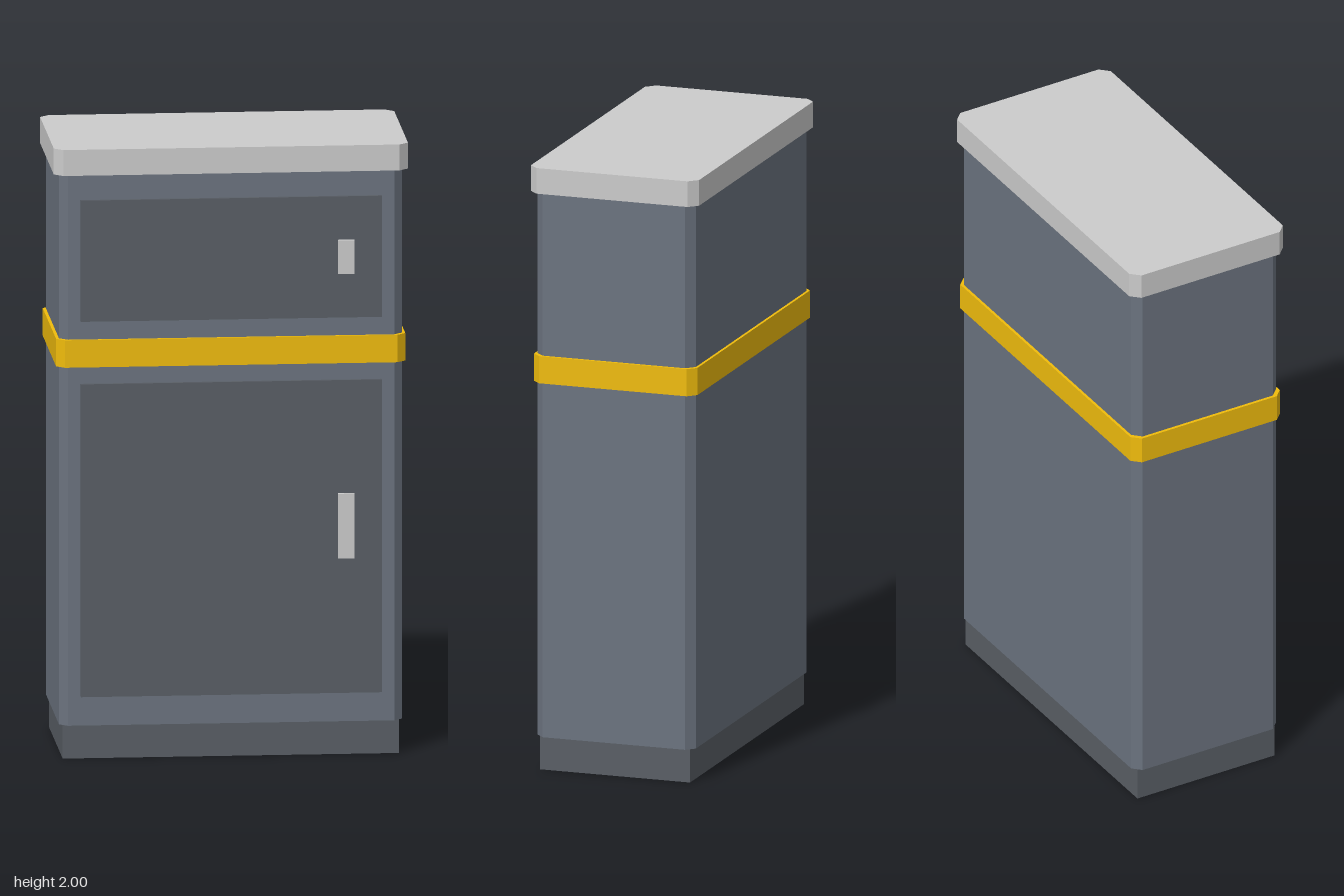
import * as THREE from 'three';

const CENTER_Z = -0.004;
const mat = (color) => new THREE.MeshStandardMaterial({ color, flatShading: true });

// Upright slab with chamfered vertical corners, from y0 to y1
function chamferedSlab(name, halfX, halfZ, chamfer, y0, y1, material) {
  const s = new THREE.Shape();
  s.moveTo(halfX - chamfer, -halfZ);
  s.lineTo(halfX, -halfZ + chamfer);
  s.lineTo(halfX, halfZ - chamfer);
  s.lineTo(halfX - chamfer, halfZ);
  s.lineTo(-halfX + chamfer, halfZ);
  s.lineTo(-halfX, halfZ - chamfer);
  s.lineTo(-halfX, -halfZ + chamfer);
  s.lineTo(-halfX + chamfer, -halfZ);
  s.closePath();
  const geo = new THREE.ExtrudeGeometry(s, { depth: y1 - y0, bevelEnabled: false });
  geo.rotateX(-Math.PI / 2);
  const mesh = new THREE.Mesh(geo, material);
  mesh.name = name;
  mesh.position.set(0, y0, CENTER_Z);
  return mesh;
}

// Box given by its extents
function box(name, x0, x1, y0, y1, z0, z1, material) {
  const mesh = new THREE.Mesh(new THREE.BoxGeometry(x1 - x0, y1 - y0, z1 - z0), material);
  mesh.name = name;
  mesh.position.set((x0 + x1) / 2, (y0 + y1) / 2, (z0 + z1) / 2);
  return mesh;
}

export function createModel() {
  const group = new THREE.Group();
  group.name = 'cabinet';
  const bodyMat = mat(0x6b737f);
  const darkMat = mat(0x595e65);
  const lightMat = mat(0xcccccc);
  const yellowMat = mat(0xf0bc0c);

  // Carcass: recessed plinth, body, band and worktop
  group.add(
    box('plinth', -0.542, 0.542, 0, 0.11, CENTER_Z - 0.256, CENTER_Z + 0.256, darkMat),
    chamferedSlab('body', 0.553, 0.27, 0.027, 0.11, 1.915, bodyMat),
    chamferedSlab('band', 0.563, 0.279, 0.027, 1.285, 1.375, yellowMat),
    chamferedSlab('worktop', 0.571, 0.287, 0.029, 1.915, 2, lightMat)
  );

  // Door panels, each with a handle near its left edge
  const doors = [
    { name: 'lowerDoor', y: [0.205, 1.23], handle: [0.648, 0.86] },
    { name: 'upperDoor', y: [1.435, 1.832], handle: [1.58, 1.69] },
  ];
  for (const { name, y, handle } of doors) {
    group.add(
      box(name, -0.485, 0.485, y[0], y[1], 0.25, 0.277, darkMat),
      box(name + 'Handle', 0.343, 0.396, handle[0], handle[1], 0.27, 0.29, lightMat)
    );
  }
  return group;
}
